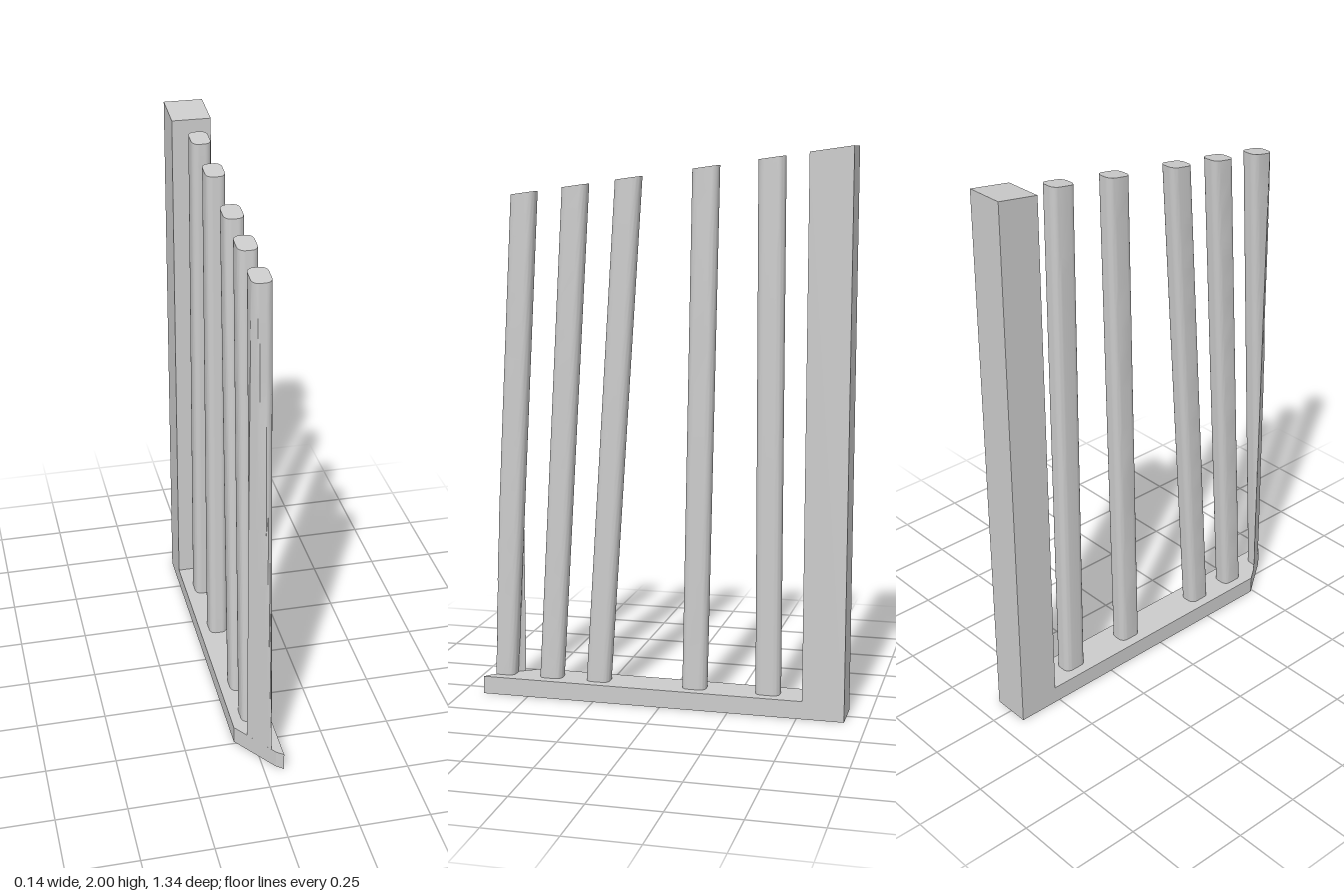
import * as THREE from 'three';
import { toCreasedNormals } from 'three/addons/utils/BufferGeometryUtils.js';

const BASE_TOP = 0.065;
const material = new THREE.MeshStandardMaterial({ color: 0xcccccc });

// Sloping line that all the tops follow, and the mitre plane at the front end
const topY = (z) => 2 - 0.138 * (z + 0.67);
const mitreZ = (x) => 0.49 + (x + 0.07) * 1.39;

function addMesh(group, geometry, name) {
  const mesh = new THREE.Mesh(geometry, material);
  mesh.name = name;
  group.add(mesh);
}

function polygon(points) {
  return new THREE.Shape(points.map(([x, y]) => new THREE.Vector2(x, y)));
}

// Rounded rectangle in x, with v running from 0 (back) to 1 (front)
function slatOutline() {
  const hx = 0.034, rx = 0.024, rv = 0.27, steps = 6, ring = [];
  const corners = [[1, 1], [-1, 1], [-1, 0], [1, 0]];
  corners.forEach(([side, front], i) => {
    for (let s = 0; s <= steps; s++) {
      const a = (i + s / steps) * Math.PI / 2;
      ring.push([
        side * (hx - rx) + rx * Math.cos(a),
        (front ? 1 - rv : rv) + rv * Math.sin(a),
      ]);
    }
  });
  return ring;
}

// Leaning slat lofted from its foot to its sloped top, trimmed by the mitre
function slatGeometry({ foot, top }) {
  const ring = slatOutline(), levels = 24, position = [];
  const point = (x, v, t) => {
    const low = THREE.MathUtils.lerp(foot[0], foot[1], v);
    const high = THREE.MathUtils.lerp(top[0], top[1], v);
    const y = THREE.MathUtils.lerp(BASE_TOP - 0.01, topY(high), t);
    return [x, y, Math.min(THREE.MathUtils.lerp(low, high, t), mitreZ(x))];
  };
  ring.forEach((a, i) => {
    const b = ring[(i + 1) % ring.length];
    for (let k = 0; k < levels; k++) {
      const t0 = k / levels, t1 = (k + 1) / levels;
      const a0 = point(...a, t0), a1 = point(...a, t1);
      const b0 = point(...b, t0), b1 = point(...b, t1);
      position.push(...a0, ...a1, ...b0, ...b0, ...a1, ...b1);
    }
    // Caps
    position.push(...point(0, 0.5, 1), ...point(...b, 1), ...point(...a, 1));
    position.push(...point(0, 0.5, 0), ...point(...a, 0), ...point(...b, 0));
  });
  const geometry = new THREE.BufferGeometry();
  geometry.setAttribute('position', new THREE.Float32BufferAttribute(position, 3));
  return toCreasedNormals(geometry, 0.6);
}

export function createModel() {
  const group = new THREE.Group();
  group.name = 'slattedScreen';

  // Base rail with a mitred front end, drawn in plan
  const rail = new THREE.ExtrudeGeometry(
    polygon([[-0.07, -0.52], [0.07, -0.52], [0.07, 0.67], [0.045, 0.65], [-0.07, 0.49]]),
    { depth: BASE_TOP, bevelEnabled: false });
  rail.rotateX(Math.PI / 2).translate(0, BASE_TOP, 0);
  addMesh(group, rail, 'baseRail');

  // Back post with a sloped top, drawn in side profile
  const post = new THREE.ExtrudeGeometry(
    polygon([[-0.67, 0], [-0.52, 0], [-0.52, topY(-0.52)], [-0.67, 2]]),
    { depth: 0.14, bevelEnabled: false });
  post.translate(0, 0, -0.07).rotateY(-Math.PI / 2);
  addMesh(group, post, 'backPost');

  // Slats: back and front z at the foot and at the top
  const slats = [
    { foot: [0.564, 0.654], top: [0.465, 0.557] },
    { foot: [0.383, 0.469], top: [0.274, 0.367] },
    { foot: [0.202, 0.29], top: [0.08, 0.173] },
    { foot: [-0.16, -0.072], top: [-0.197, -0.104] },
    { foot: [-0.431, -0.342], top: [-0.428, -0.335] },
  ];
  slats.forEach((slat, i) => addMesh(group, slatGeometry(slat), `slat${i + 1}`));

  return group;
}
